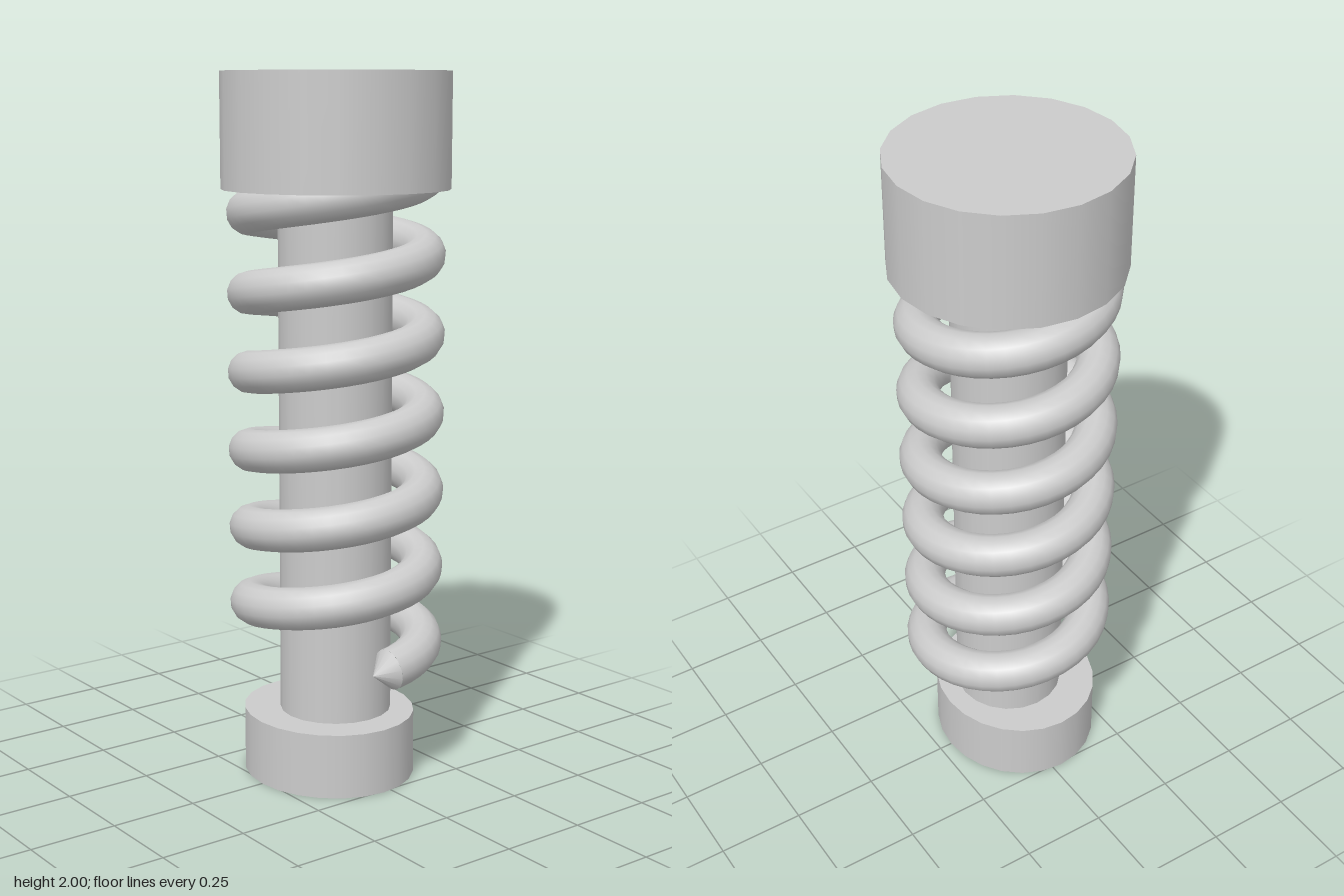
import * as THREE from 'three';

const material = new THREE.MeshStandardMaterial({ color: 0xcccccc });

// Helix climbing from the left side, round the back
class Helix extends THREE.Curve {
  constructor(radius, startY, pitch, turns) {
    super();
    Object.assign(this, { radius, startY, pitch, turns });
  }
  getPoint(t, target = new THREE.Vector3()) {
    const turn = t * this.turns;
    const a = turn * Math.PI * 2;
    return target.set(
      this.radius * Math.cos(a),
      this.startY + this.pitch * turn,
      -this.radius * Math.sin(a)
    );
  }
}

export function createModel() {
  const model = new THREE.Group();
  model.name = 'coilShockAbsorber';

  function add(name, geometry, x = 0, y = 0, z = 0) {
    const mesh = new THREE.Mesh(geometry, material);
    mesh.name = name;
    mesh.position.set(x, y, z);
    model.add(mesh);
    return mesh;
  }

  // Upper housing
  add('topCap', new THREE.CylinderGeometry(0.32, 0.32, 0.32, 20), 0, 1.84, 0);

  // Central rod, sunk slightly into both ends
  add('rod', new THREE.CylinderGeometry(0.16, 0.16, 1.56, 20), 0.01, 0.93, 0.01);

  // Foot, slightly narrower front to back
  const foot = add('foot', new THREE.CylinderGeometry(0.26, 0.26, 0.185, 24), 0, 0.0925, 0.027);
  foot.scale.z = 0.915;

  // Spring coil running up into the housing
  const wire = 0.06;
  const helix = new Helix(0.246, 0.354, 0.223, 6.3);
  add('spring', new THREE.TubeGeometry(helix, 240, wire, 14, false));

  // Pointed ends of the spring wire
  for (const [name, t, sign] of [['springLowerTip', 0, -1], ['springUpperTip', 1, 1]]) {
    const direction = helix.getTangent(t).multiplyScalar(sign);
    const cone = new THREE.ConeGeometry(wire, 0.058, 14, 1, true);
    cone.translate(0, 0.029, 0);
    const p = helix.getPoint(t);
    const tip = add(name, cone, p.x, p.y, p.z);
    tip.quaternion.setFromUnitVectors(new THREE.Vector3(0, 1, 0), direction);
  }

  return model;
}
